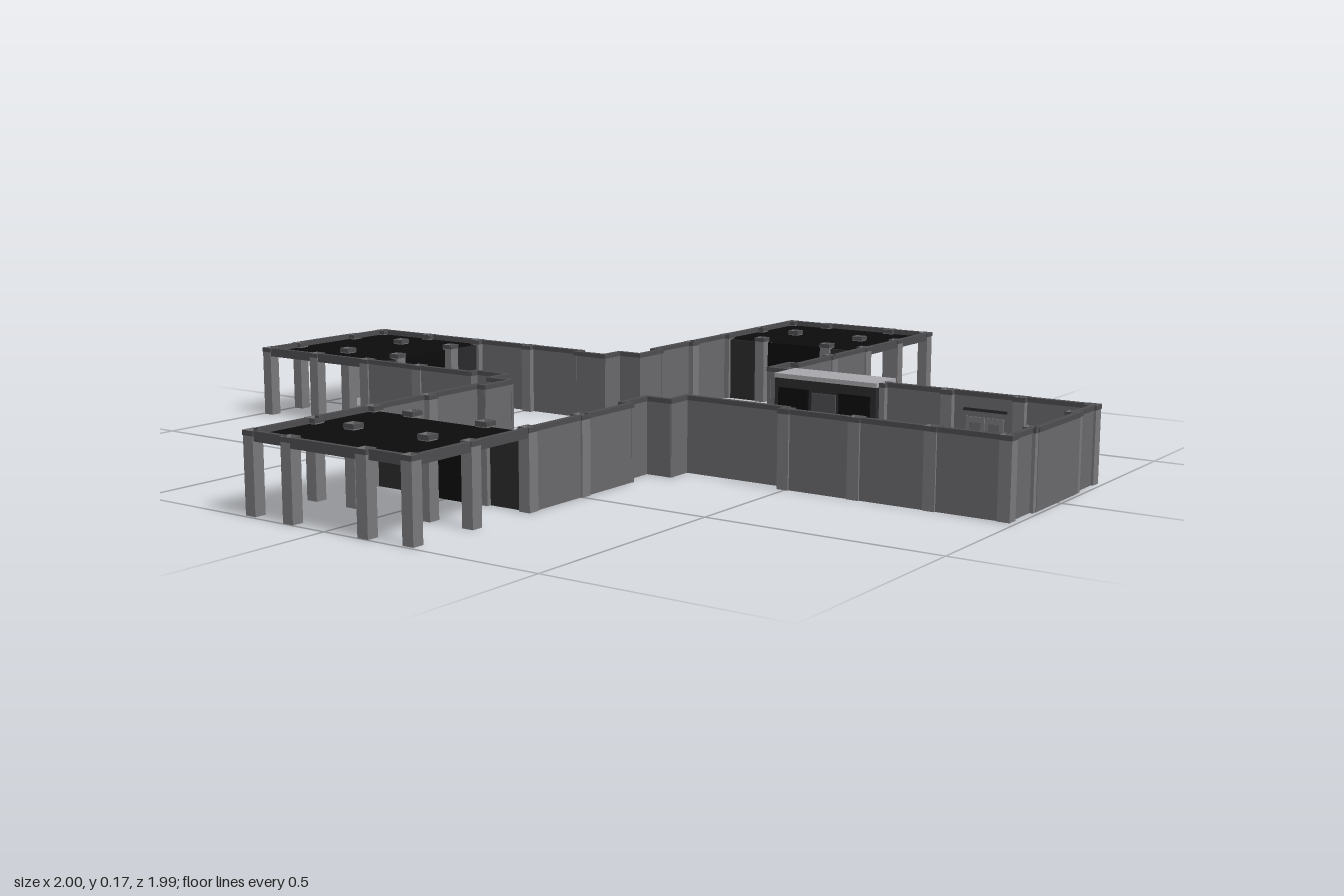
import * as THREE from 'three';

const H = 0.165;
const mat = (color, side = THREE.FrontSide) => new THREE.MeshStandardMaterial({ color, side, flatShading: true });
const wallMat = mat(0x69696c);
const postMat = mat(0x78787b, THREE.DoubleSide);
const trimMat = mat(0x4c4c4f);
const darkMat = mat(0x2a2a2c);
const blackMat = mat(0x0b0b0b, THREE.DoubleSide);
const canopyMat = mat(0xa6a6ab);

function add(parent, name, geometry, material, x = 0, y = 0, z = 0) {
  const mesh = new THREE.Mesh(geometry, material);
  mesh.name = name;
  mesh.position.set(x, y, z);
  parent.add(mesh);
  return mesh;
}

// Box given by its extents along each axis
function block(parent, name, material, [x0, x1], [y0, y1], [z0, z1]) {
  return add(parent, name, new THREE.BoxGeometry(x1 - x0, y1 - y0, z1 - z0), material,
    (x0 + x1) / 2, (y0 + y1) / 2, (z0 + z1) / 2);
}

// Hollow square post, open at both ends, with a darker collar at the top
function post(parent, x, z, name = 'pilaster') {
  const tube = (w, h) => new THREE.CylinderGeometry(w / Math.SQRT2, w / Math.SQRT2, h, 4, 1, true).rotateY(Math.PI / 4);
  add(parent, name, tube(0.026, H), postMat, x, H / 2, z);
  add(parent, name + 'Collar', tube(0.028, 0.01), collarMat, x, H - 0.005, z);
}
const collarMat = mat(0x4c4c4f, THREE.DoubleSide);

// Wall run along a list of [x, z] points: panel and coping per stretch
function walls(parent, points, extra = 0, coping = 0.012) {
  for (let i = 0; i + 1 < points.length; i++) {
    const [ax, az] = points[i], [bx, bz] = points[i + 1];
    const g = new THREE.Group();
    g.name = 'wall';
    const len = Math.hypot(bx - ax, bz - az) + extra;
    add(g, 'wallPanel', new THREE.BoxGeometry(len, H - 0.01, 0.008), wallMat, 0, (H - 0.01) / 2, 0);
    add(g, 'wallCoping', new THREE.BoxGeometry(len, 0.01, coping), trimMat, 0, H - 0.005, 0);
    g.position.set((ax + bx) / 2, 0, (az + bz) / 2);
    g.rotation.y = Math.atan2(az - bz, bx - ax);
    parent.add(g);
  }
}

// Flat roof, notched round the edge posts and pierced by the inner ones
function roofGeometry() {
  const half = [[0.083, 0.664], [0.083, 0.668], [0.107, 0.668], [0.107, 0.652], [0.187, 0.652],
    [0.187, 0.668], [0.207, 0.668], [0.207, 0.807], [0.187, 0.807], [0.187, 0.833], [0.207, 0.833],
    [0.207, 0.967], [0.187, 0.967], [0.187, 0.985], [0.107, 0.985], [0.107, 0.972], [0.083, 0.972],
    [0.083, 0.996]];
  const mirrored = half.map(([x, y]) => [-x, y]).reverse();
  const s = new THREE.Shape([...half, ...mirrored].map(([x, y]) => new THREE.Vector2(x, y)));
  const r = 0.012, y = 0.82;
  for (const x of [-0.095, 0.095]) {
    const h = new THREE.Path();
    h.moveTo(x - r, y - r).lineTo(x + r, y - r).lineTo(x + r, y + r).lineTo(x - r, y + r).closePath();
    s.holes.push(h);
  }
  return new THREE.ShapeGeometry(s).rotateX(-Math.PI / 2);
}

// Arm towards -z: side walls, then an open porch on posts
function porchArm(angle) {
  const g = new THREE.Group();
  g.name = 'porchArm';
  for (const s of [-1, 1]) {
    for (const [z0, z1] of [[0.33, 0.477], [0.503, 0.642]]) walls(g, [[s * 0.205, -z0], [s * 0.205, -z1]]);
    post(g, s * 0.2, -0.49);
    for (const z of [0.655, 0.82, 0.98]) {
      post(g, s * 0.2, -z, 'porchPost');
      post(g, s * 0.095, -z - (z > 0.9 ? 0.005 : 0), 'porchPost');
    }
    for (const [z0, z1] of [[0.668, 0.807], [0.833, 0.967]])
      block(g, 'porchSideBeam', trimMat, [s * 0.206 - 0.005, s * 0.206 + 0.005], [0.145, H], [-z1, -z0]);
    const bay = s > 0 ? [0.108, 0.187] : [-0.187, -0.108];
    block(g, 'porchEndBeam', trimMat, bay, [0.145, H], [-0.991, -0.981]);
    block(g, 'porchSideScreen', darkMat, bay, [0, 0.152], [-0.658, -0.65]);
  }
  block(g, 'porchCentreBeam', trimMat, [-0.082, 0.082], [0.145, H], [-0.999, -0.989]);
  block(g, 'porchCentreScreen', blackMat, [-0.082, 0.082], [0, 0.152], [-0.67, -0.662]);
  add(g, 'porchRoof', roofGeometry(), blackMat, 0, 0.153, 0);
  g.rotation.y = angle;
  return g;
}

// Glazed kiosk with a canopy, set into the front arm's left wall
function kiosk() {
  const g = new THREE.Group();
  g.name = 'kiosk';
  const z0 = 0.24, z1 = 0.495, mid = 0.367;
  block(g, 'kioskBackWall', darkMat, [0.172, 0.182], [0, 0.155], [z0, z1]);
  block(g, 'kioskLowerStep', postMat, [0.182, 0.26], [0, 0.012], [z0, z1]);
  block(g, 'kioskStepEnd', postMat, [0.213, 0.26], [0, 0.012], [z1, 0.512]);
  block(g, 'kioskStepEnd', postMat, [0.249, 0.26], [0, 0.012], [0.205, z0]);
  block(g, 'kioskUpperStep', postMat, [0.182, 0.245], [0.012, 0.022], [z0, z1]);
  block(g, 'kioskCanopy', canopyMat, [0.174, 0.263], [0.155, H], [z0 - 0.003, z1]);
  block(g, 'kioskCanopyFascia', trimMat, [0.182, 0.256], [0.146, 0.155], [z0, z1 - 0.003]);
  for (const z of [z0 + 0.005, z1 - 0.005])
    block(g, 'kioskSideWall', darkMat, [0.175, 0.235], [0, 0.155], [z - 0.005, z + 0.005]);
  block(g, 'kioskDoor', postMat, [0.18, 0.19], [0.022, 0.125], [mid - 0.03, mid + 0.03]);
  block(g, 'kioskDoorPane', trimMat, [0.188, 0.192], [0.07, 0.115], [mid - 0.02, mid + 0.02]);
  for (const s of [-1, 1]) {
    const c = mid + s * 0.077;
    block(g, 'kioskSill', trimMat, [0.18, 0.195], [0.022, 0.035], [c - 0.043, c + 0.043]);
    for (let i = 0; i < 5; i++) {
      const z = c - 0.04 + i * 0.02;
      block(g, 'windowBar', postMat, [0.182, 0.187], [0.035, 0.146], [z - 0.001, z + 0.001]);
    }
    for (let i = 0; i < 5; i++) {
      const y = 0.05 + i * 0.02;
      block(g, 'windowRail', postMat, [0.182, 0.187], [y, y + 0.002], [c - 0.042, c + 0.042]);
    }
    // Display windows on the inner face
    block(g, 'innerWindow', blackMat, [0.167, 0.172], [0.03, 0.135], [c - 0.038, c + 0.038]);
  }
  block(g, 'innerDoor', trimMat, [0.168, 0.172], [0, 0.13], [mid - 0.03, mid + 0.03]);
  return g;
}

// Open front arm: side walls, stepped end wall, door and display panel
function frontArm() {
  const g = new THREE.Group();
  g.name = 'frontArm';
  const rows = [0.495, 0.655, 0.82, 0.975];
  for (const s of [-1, 1]) {
    rows.forEach((z, i) => {
      post(g, s * 0.2, z);
      if (i) walls(g, [[s * 0.205, rows[i - 1] + 0.013], [s * 0.205, z - 0.013]]);
    });
    post(g, s * 0.1, 0.977);
    walls(g, [[s * 0.187, 0.979], [s * 0.113, 0.979]]);
  }
  walls(g, [[-0.1, 0.987], [0.1, 0.987]]);

  // Double door in the left side wall
  const door = new THREE.Group();
  door.name = 'sideDoor';
  block(door, 'doorLintel', darkMat, [0.198, 0.214], [0.124, 0.13], [0.69, 0.79]);
  for (const z of [0.718, 0.762]) {
    block(door, 'doorLeaf', postMat, [0.198, 0.211], [0.008, 0.112], [z - 0.021, z + 0.021]);
    block(door, 'doorInset', wallMat, [0.197, 0.2125], [0.06, 0.1], [z - 0.013, z + 0.013]);
  }
  g.add(door);

  block(g, 'displayPanel', trimMat, [-0.18, -0.17], [0.02, 0.14], [0.265, 0.465]);
  block(g, 'displayLedge', darkMat, [-0.18, -0.167], [0.012, 0.02], [0.26, 0.47]);
  return g;
}

export function createModel() {
  const model = new THREE.Group();
  model.name = 'crossShapedHall';

  for (const angle of [0, Math.PI / 2, -Math.PI / 2]) model.add(porchArm(angle));
  model.add(frontArm());

  // Stepped inner corners; the front right one has a longer stretch
  for (const sx of [-1, 1]) for (const sz of [-1, 1]) {
    const corner = new THREE.Group();
    corner.name = 'innerCorner';
    const pts = [[0.33, 0.205], [0.33, 0.183], [0.243, 0.183], [0.243, 0.243], [0.183, 0.243]];
    if (sz < 0) pts.push([0.183, 0.33], [0.205, 0.33]);
    else if (sx < 0) pts.push([0.183, 0.487], [0.205, 0.487]);
    walls(corner, pts.map(([x, z]) => [x * sx, z * sz]), 0.01);
    model.add(corner);
  }
  model.add(kiosk());
  return model;
}
